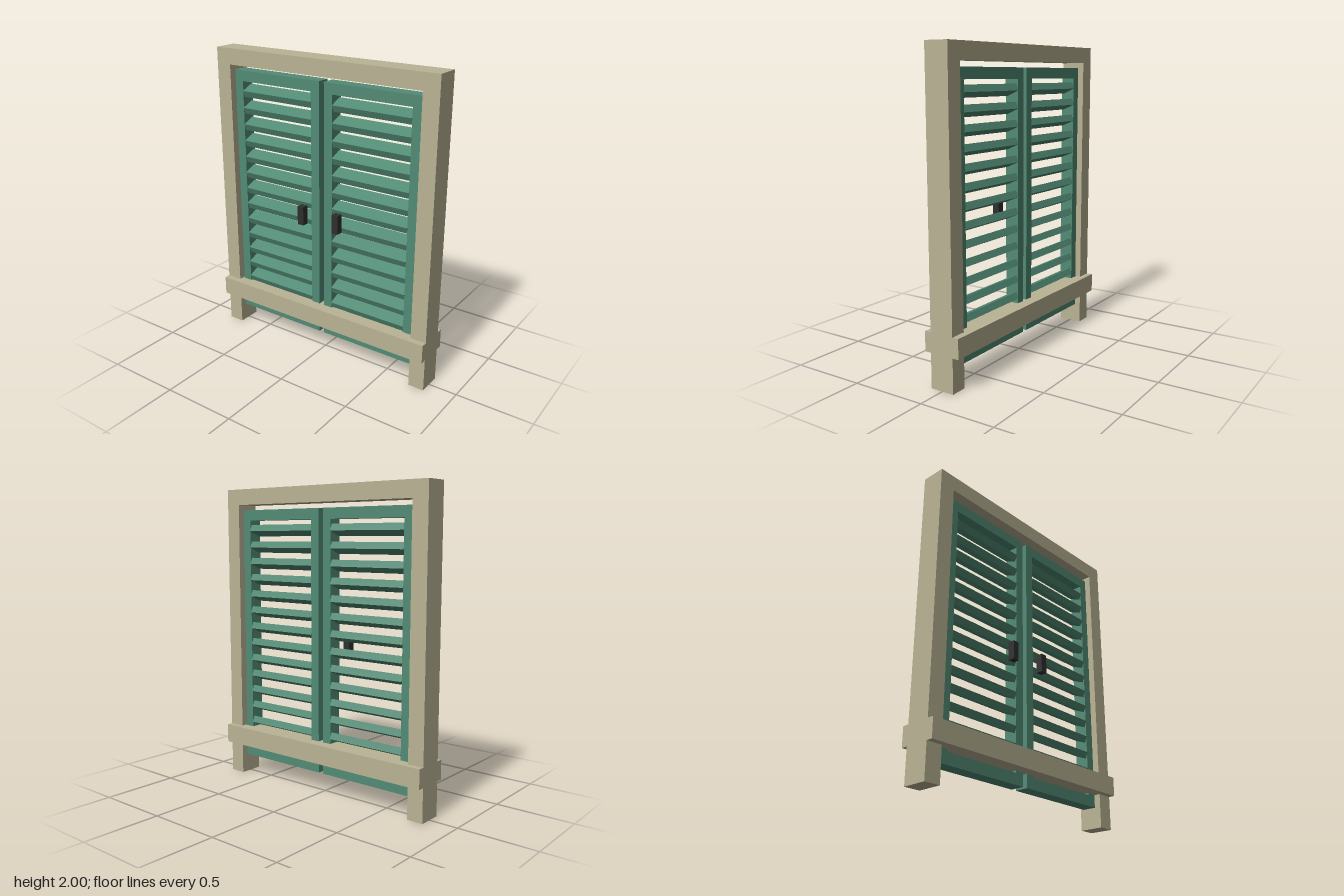
import * as THREE from 'three';

const wood = new THREE.MeshStandardMaterial({ color: 0xbab395 });
wood.name = 'pale wood';
const green = new THREE.MeshStandardMaterial({ color: 0x528b75 });
green.name = 'shutter green';
const dark = new THREE.MeshStandardMaterial({ color: 0x2e2e2e });
dark.name = 'dark metal';

// Box given by its limits on each axis
function box(parent, name, material, [x0, x1], [y0, y1], [z0, z1]) {
  const mesh = new THREE.Mesh(new THREE.BoxGeometry(x1 - x0, y1 - y0, z1 - z0), material);
  mesh.position.set((x0 + x1) / 2, (y0 + y1) / 2, (z0 + z1) / 2);
  mesh.name = name;
  parent.add(mesh);
  return mesh;
}

// One louvred shutter, centred on its own x = 0; side is +1 (left) or -1 (right)
function createShutter(side) {
  const shutter = new THREE.Group();
  const half = 0.336, inner = 0.274, depth = [-0.046, 0.046];
  const bottom = 0.132, top = 1.86, openBottom = 0.205, openTop = 1.79;

  box(shutter, 'outerStile', green, [inner, half], [bottom, top], depth);
  box(shutter, 'innerStile', green, [-half, -inner], [bottom, top], depth);
  box(shutter, 'topRail', green, [-inner, inner], [openTop, top], depth);
  box(shutter, 'bottomRail', green, [-inner, inner], [bottom, openBottom], depth);

  // Slats slope down towards the front
  const count = 14, pitch = 0.1117;
  for (let i = 0; i < count; i++) {
    const y = 1.7225 - i * pitch;
    const slat = box(shutter, 'slat', green, [-inner, inner], [y - 0.0228, y + 0.0228], [-0.045, 0.045]);
    slat.rotation.x = 0.4;
  }

  // Pull handle near the meeting edge
  const hx = -side * 0.22;
  box(shutter, 'handle', dark, [hx - 0.023, hx + 0.023], [0.912, 1.037], [0.05, 0.095]);

  shutter.position.x = side * 0.354;
  return shutter;
}

export function createModel() {
  const model = new THREE.Group();
  model.name = 'shutteredWindow';

  // Outer frame
  const frame = new THREE.Group();
  frame.name = 'frame';
  box(frame, 'leftPost', wood, [0.703, 0.81], [0, 2], [-0.08, 0.08]);
  box(frame, 'rightPost', wood, [-0.81, -0.703], [0, 2], [-0.08, 0.08]);
  box(frame, 'header', wood, [-0.703, 0.703], [1.895, 2], [-0.08, 0.08]);
  box(frame, 'sill', wood, [-0.81, 0.81], [0.22, 0.345], [-0.122, 0.122]);
  model.add(frame);

  // Pair of shutters
  for (const side of [1, -1]) {
    const shutter = createShutter(side);
    shutter.name = side > 0 ? 'leftShutter' : 'rightShutter';
    model.add(shutter);
  }
  return model;
}
